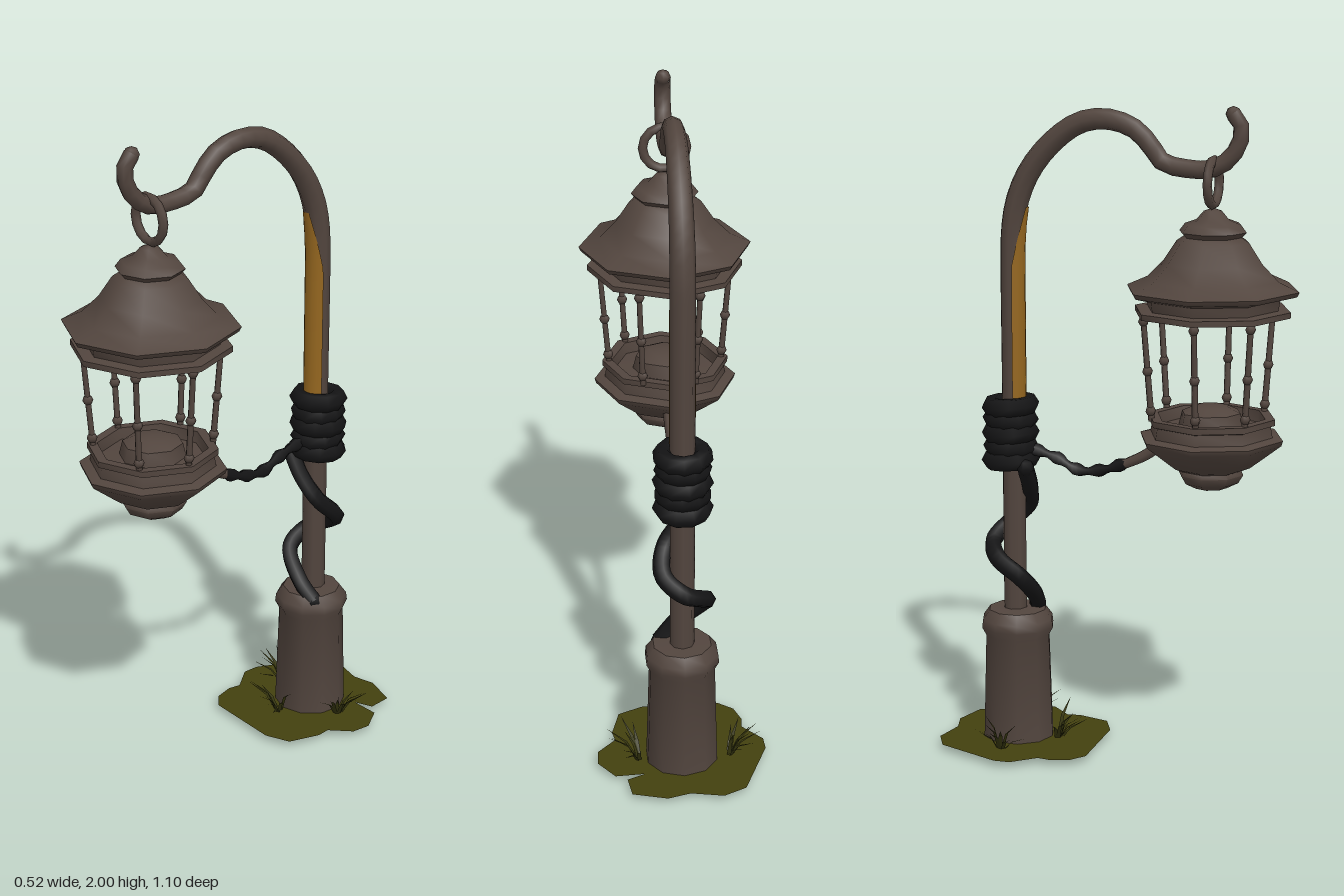
import * as THREE from 'three';
import { toCreasedNormals } from 'three/addons/utils/BufferGeometryUtils.js';

const mat = (name, color, side = THREE.FrontSide) => {
  const m = new THREE.MeshStandardMaterial({ color, side });
  m.name = name;
  return m;
};

export function createModel() {
  const iron = mat('brown iron', 0x52453e);
  const rope = mat('black cable', 0x141415);
  const gold = mat('worn gold', 0x94661f, THREE.DoubleSide);
  const moss = mat('moss green', 0x43400f, THREE.DoubleSide);
  const grass = mat('grass green', 0x35350f, THREE.DoubleSide);

  const model = new THREE.Group();
  model.name = 'lanternPost';
  const POLE_Z = -0.34, LAMP_Z = 0.285;
  const vec = (p) => new THREE.Vector3(...p);

  const add = (name, geometry, material, parent = model) => {
    const mesh = new THREE.Mesh(geometry, material);
    mesh.name = name;
    parent.add(mesh);
    return mesh;
  };

  // Turned part; the profile runs upward as [radius, y]
  const turned = (name, profile, sides, parent) => add(name, toCreasedNormals(
    new THREE.LatheGeometry(profile.map(([r, y]) => new THREE.Vector2(r, y)), sides), 0.9), iron, parent);

  // Tube whose radius follows a function of t, with rounded ends
  const taperedTube = (name, points, radius, segments, sides, material) => {
    const path = new THREE.CatmullRomCurve3(points.map(vec));
    const geo = new THREE.TubeGeometry(path, segments, 1, sides);
    const pos = geo.attributes.position, v = new THREE.Vector3();
    for (let i = 0; i < pos.count; i++) {
      const t = Math.floor(i / (sides + 1)) / segments;
      const c = path.getPointAt(t);
      v.fromBufferAttribute(pos, i).sub(c).multiplyScalar(radius(t)).add(c);
      pos.setXYZ(i, v.x, v.y, v.z);
    }
    add(name, geo, material);
    for (const t of [0, 1]) {
      add(name + 'End', new THREE.SphereGeometry(radius(t), sides, 4), material)
        .position.copy(path.getPointAt(t));
    }
  };

  // Post foot
  turned('postFoot', [[0, 0.02], [0.112, 0.02], [0.102, 0.35], [0.115, 0.375], [0.112, 0.4],
    [0.09, 0.43], [0, 0.435]], 10).position.z = -0.333;

  // Pole bending over into a hook
  const poleLine = [[-0.34, 0.4], [-0.34, 0.8], [-0.34, 1.2], [-0.34, 1.52], [-0.336, 1.62], [-0.318, 1.71],
    [-0.275, 1.8], [-0.2, 1.885], [-0.12, 1.937], [-0.04, 1.948], [0.04, 1.925], [0.09, 1.88], [0.13, 1.828],
    [0.2, 1.811], [0.28, 1.812], [0.335, 1.845], [0.366, 1.9], [0.365, 1.945], [0.343, 1.972]];
  taperedTube('pole', poleLine.map(([z, y]) => [0, y, z]),
    (t) => (t < 0.55 ? 0.037 : 0.037 - (t - 0.55) * 0.03), 56, 8, iron);

  // Gold strip on the front of the pole, narrowing towards its top
  const strip = new THREE.CylinderGeometry(0.04, 0.04, 0.58, 6, 10, true, -1.3, 2.6);
  strip.translate(0, 1.39, 0);
  const sp = strip.attributes.position;
  for (let i = 0; i < sp.count; i++) {
    const y = sp.getY(i);
    const a = Math.atan2(sp.getX(i), sp.getZ(i)) * (y > 1.5 ? 1 - (y - 1.5) * 4 : 1);
    const bend = y > 1.52 ? (y - 1.52) ** 2 * 0.5 : 0;
    sp.setXYZ(i, Math.sin(a) * 0.04, y, Math.cos(a) * 0.04 + POLE_Z + bend);
  }
  strip.computeVertexNormals();
  add('goldStrip', strip, gold);

  // Cable coils around the pole
  for (let i = 0; i < 5; i++) {
    const coil = add('cableCoil', new THREE.TorusGeometry(0.058, 0.028, 6, 10), rope);
    coil.rotation.set(Math.PI / 2 + (i % 2 ? 0.06 : -0.06), 0, i * 0.4);
    coil.position.set(0, 0.905 + i * 0.042, -0.35);
    coil.scale.setScalar(i % 2 ? 1 : 1.05);
  }
  // Cable winding down to the foot
  taperedTube('windingCable', [[0.065, 0.41, -0.29], [0.01, 0.47, -0.275], [-0.068, 0.55, -0.3],
    [-0.065, 0.6, -0.37], [0, 0.64, -0.41], [0.06, 0.69, -0.375], [0.05, 0.755, -0.31],
    [0, 0.82, -0.288], [-0.05, 0.89, -0.285]], () => 0.027, 40, 6, rope);
  // Knotted cable from the coils to the lantern, with a bare end
  taperedTube('hangingCable', [[0, 0.94, -0.28], [0, 0.915, -0.2], [0, 0.882, -0.13], [0, 0.89, -0.05],
    [0, 0.92, 0.03]], (t) => 0.017 + 0.005 * Math.sin(t * 30), 24, 5, rope);
  taperedTube('cableEnd', [[0, 0.915, 0.02], [0, 0.945, 0.08], [0, 0.99, 0.14]],
    (t) => 0.016 + 0.005 * t, 8, 6, iron);

  // Lantern
  const lantern = new THREE.Group();
  lantern.name = 'lantern';
  lantern.position.z = LAMP_Z;
  model.add(lantern);
  add('hangingRing', new THREE.TorusGeometry(0.066, 0.014, 6, 14), iron, lantern).position.y = 1.773;
  turned('lanternRoof', [[0, 1.385], [0.237, 1.385], [0.237, 1.402], [0.2, 1.405], [0.205, 1.435], [0.255, 1.448],
    [0.262, 1.462], [0.2, 1.49], [0.15, 1.54], [0.11, 1.6], [0.088, 1.615], [0.102, 1.63], [0.085, 1.652],
    [0.05, 1.665], [0.028, 1.69], [0, 1.7]], 8, lantern);
  turned('lanternBase', [[0, 0.86], [0.05, 0.862], [0.085, 0.88], [0.1, 0.905], [0.095, 0.918], [0.12, 0.928],
    [0.155, 0.955], [0.215, 1.002], [0.22, 1.017], [0.188, 1.025], [0.182, 1.058], [0.195, 1.062], [0.195, 1.08],
    [0.165, 1.08], [0.16, 1.045], [0.1, 1.05], [0.09, 1.092], [0.05, 1.11], [0, 1.112]], 8, lantern);

  // Cage bars leaning inwards, each with small collars
  for (const side of [-1, 1]) {
    for (const [x, z] of [[0.2, 0], [0.132, 0.152], [0.092, -0.185]]) {
      const top = vec([side * x, 1.39, z]);
      const bottom = vec([side * x * 0.87, 1.07, z * 0.87]);
      const bar = new THREE.Group();
      bar.name = 'cageBar';
      bar.position.copy(top).add(bottom).multiplyScalar(0.5);
      bar.quaternion.setFromUnitVectors(vec([0, 1, 0]), top.clone().sub(bottom).normalize());
      lantern.add(bar);
      const len = top.distanceTo(bottom);
      add('barRod', new THREE.CylinderGeometry(0.009, 0.01, len, 6), iron, bar);
      for (const y of [0.14, -0.01, -0.13]) {
        add('barCollar', new THREE.SphereGeometry(0.016, 6, 4), iron, bar).position.y = y;
      }
    }
  }

  // Ragged moss patch
  const edge = [[-0.18, -0.52], [-0.11, -0.555], [-0.01, -0.535], [0.06, -0.555], [0.165, -0.525], [0.175, -0.45],
    [0.12, -0.425], [0.21, -0.43], [0.26, -0.36], [0.257, -0.3], [0.2, -0.24], [0.207, -0.2], [0.18, -0.1],
    [0.105, -0.065], [-0.14, -0.065], [-0.185, -0.1], [-0.205, -0.16], [-0.2, -0.2], [-0.26, -0.27],
    [-0.262, -0.32], [-0.225, -0.41]];
  const patch = new THREE.ShapeGeometry(new THREE.Shape(edge.map(([x, z]) => new THREE.Vector2(x, -z))));
  patch.rotateX(-Math.PI / 2);
  add('mossPatch', patch, moss).position.y = 0.02;

  // Grass tufts of thin bent blades
  let seed = 7;
  const rand = () => (seed = (seed * 16807) % 2147483647) / 2147483647;
  const tuft = (x, z, facing) => {
    const verts = [];
    for (let i = 0; i < 9; i++) {
      const a = facing + (i / 8 - 0.5) * 2.8;
      const reach = 0.05 + rand() * 0.06, h = 0.06 + rand() * 0.07;
      const dx = Math.sin(a), dz = Math.cos(a), w = 0.007;
      const at = (out, y, s) => [x + dx * out + dz * s, y, z + dz * out - dx * s];
      const l = at(0, 0, -w), r = at(0, 0, w);
      const ml = at(reach * 0.4, h * 0.65, -w * 0.8), mr = at(reach * 0.4, h * 0.65, w * 0.8);
      verts.push(...l, ...r, ...mr, ...l, ...mr, ...ml, ...ml, ...mr, ...at(reach, h, 0));
    }
    const geo = new THREE.BufferGeometry();
    geo.setAttribute('position', new THREE.Float32BufferAttribute(verts, 3));
    geo.computeVertexNormals();
    add('grassTuft', geo, grass);
  };
  tuft(-0.145, -0.34, -Math.PI / 2);
  tuft(0.13, -0.34, Math.PI / 2);
  tuft(0, -0.205, 0);

  return model;
}
